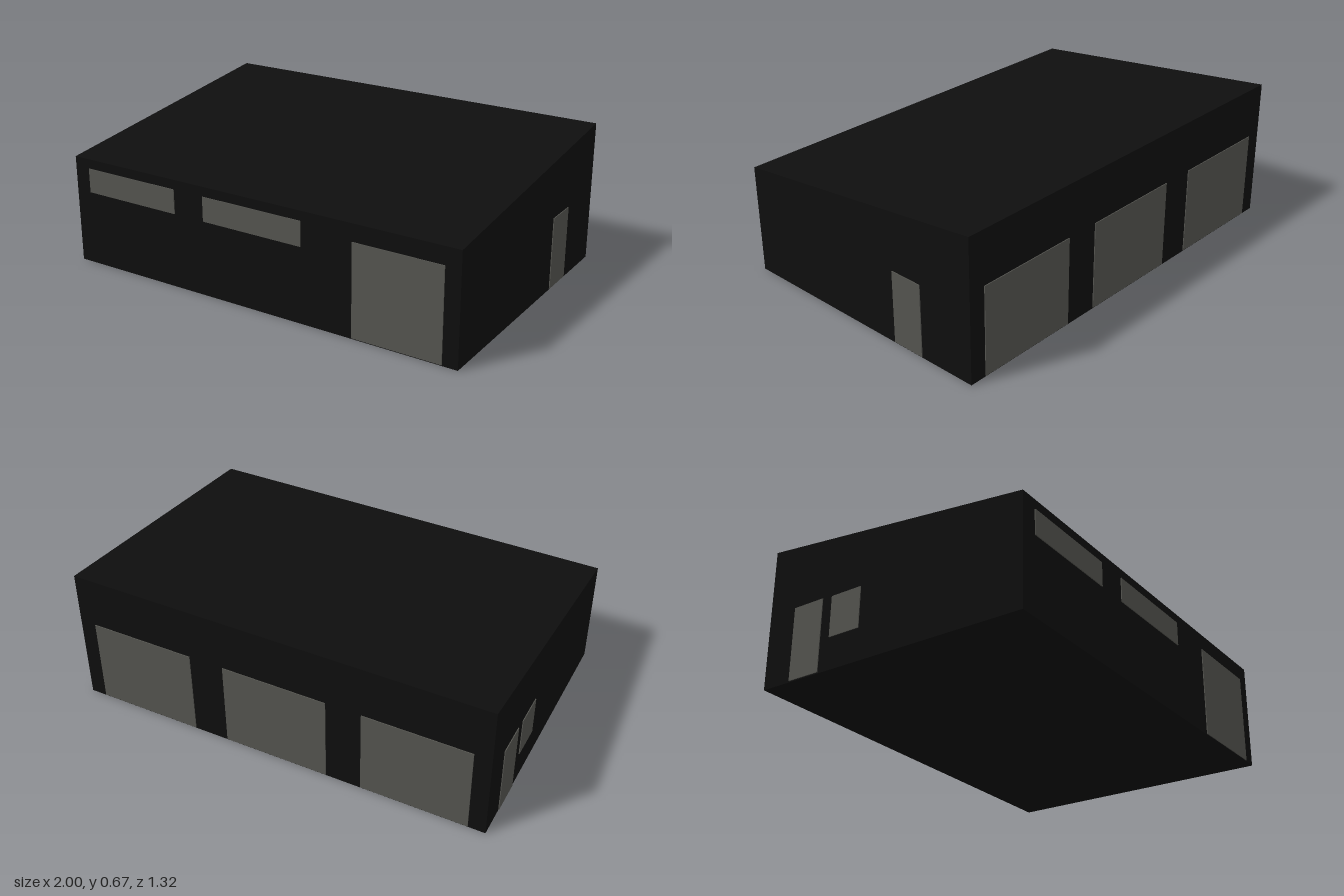
import * as THREE from 'three';

const W = 0.996, D = 0.658; // half width and half depth of the walls
const T = 0.008;            // panel thickness, half sunk into the wall

export function createModel() {
  const building = new THREE.Group();
  building.name = 'building';
  const black = new THREE.MeshStandardMaterial({ color: 0x0e0e0e });
  black.name = 'black cladding';
  const grey = new THREE.MeshStandardMaterial({ color: 0x53534e });
  grey.name = 'grey panel';

  // Shell with a single-pitch roof, extruded along x
  const profile = new THREE.Shape([
    new THREE.Vector2(-D, 0),
    new THREE.Vector2(D, 0),
    new THREE.Vector2(D, 0.665),
    new THREE.Vector2(-D, 0.515),
  ]);
  const shellGeometry = new THREE.ExtrudeGeometry(profile, { depth: 2 * W, bevelEnabled: false });
  shellGeometry.translate(0, 0, -W).rotateY(Math.PI / 2);
  const shell = new THREE.Mesh(shellGeometry, black);
  shell.name = 'shell';
  building.add(shell);

  // Thin panel on a wall; a0..a1 runs along x (front, back) or z (left, right)
  function panel(name, wall, a0, a1, y0, y1) {
    const alongX = wall === 'front' || wall === 'back';
    const sign = wall === 'front' || wall === 'left' ? 1 : -1;
    const w = a1 - a0, mid = (a0 + a1) / 2, y = (y0 + y1) / 2;
    const size = alongX ? [w, y1 - y0, T] : [T, y1 - y0, w];
    const mesh = new THREE.Mesh(new THREE.BoxGeometry(...size), grey);
    if (alongX) mesh.position.set(mid, y, sign * D);
    else mesh.position.set(sign * W, y, mid);
    mesh.name = name;
    building.add(mesh);
  }

  // Front: two strip windows and a wide gate
  panel('frontWindow', 'front', -0.915, -0.415, 0.355, 0.47);
  panel('frontWindow', 'front', -0.255, 0.255, 0.355, 0.47);
  panel('frontGate', 'front', 0.505, 0.925, 0.005, 0.435);

  // Back: three wide gates
  for (const x of [-0.667, 0, 0.667]) {
    panel('backGate', 'back', x - 0.25, x + 0.25, 0.005, 0.42);
  }

  // Sides: one door each, plus a small window
  panel('leftDoor', 'left', -0.382, -0.222, 0.005, 0.345);
  panel('rightDoor', 'right', -0.513, -0.355, 0.005, 0.345);
  panel('rightWindow', 'right', -0.303, -0.145, 0.15, 0.34);

  return building;
}
